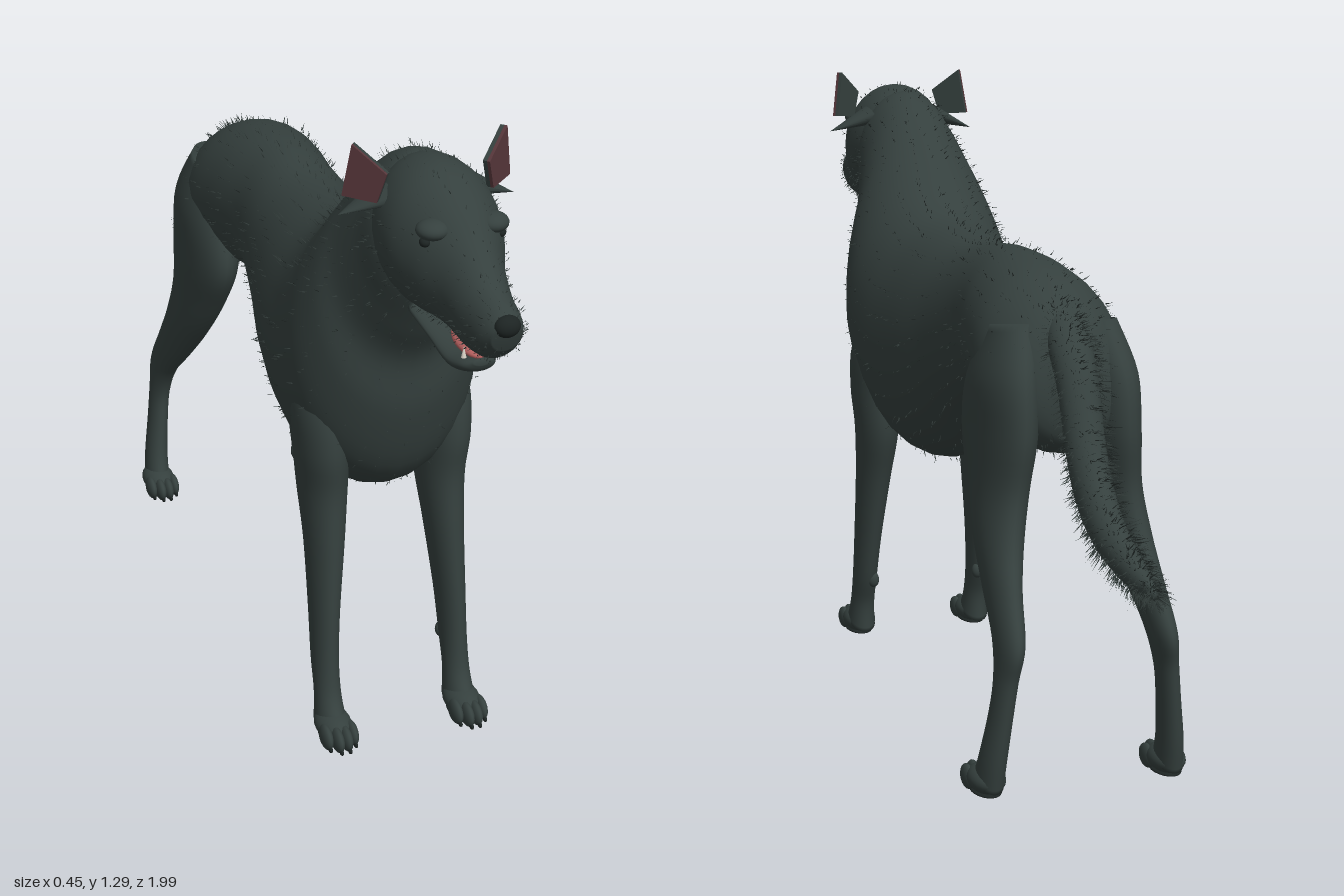
import * as THREE from 'three';

const mat = (name, color, extra = {}) => Object.assign(new THREE.MeshStandardMaterial({ color, ...extra }), { name });

// Smooth skin through oval sections: [zA, yA, zB, yB, centreX, halfWidth]
function loft(sections, side = 1, steps = 5, sides = 28) {
  const at = (i, k) => sections[Math.min(Math.max(i, 0), sections.length - 1)][k];
  const rings = [];
  for (let i = 0; i < sections.length - 1; i++)
    for (let s = 0; s < steps + (i === sections.length - 2 ? 1 : 0); s++) {
      const t = s / steps;
      rings.push([0, 1, 2, 3, 4, 5].map(k => {
        const a = at(i - 1, k), b = at(i, k), c = at(i + 1, k), d = at(i + 2, k);
        return b + 0.5 * t * (c - a + t * (2 * a - 5 * b + 4 * c - d + t * (3 * (b - c) + d - a)));
      }));
    }
  const pos = [], idx = [];
  for (const [za, ya, zb, yb, x, w] of rings)
    for (let j = 0; j < sides; j++) {
      const c = Math.cos(j / sides * Math.PI * 2), s = Math.sin(j / sides * Math.PI * 2);
      pos.push(x * side + w * s, (ya + yb) / 2 + (ya - yb) / 2 * c, (za + zb) / 2 + (za - zb) / 2 * c);
    }
  const last = (rings.length - 1) * sides, hub = rings.length * sides;
  for (const r of [rings[0], rings[rings.length - 1]]) pos.push(r[4] * side, (r[1] + r[3]) / 2, (r[0] + r[2]) / 2);
  for (let j = 0; j < sides; j++) {
    const n = (j + 1) % sides;
    for (let i = 0; i < last; i += sides)
      idx.push(i + j, i + sides + j, i + n, i + n, i + sides + j, i + sides + n);
    idx.push(hub, j, n, hub + 1, last + n, last + j);
  }
  const g = new THREE.BufferGeometry();
  g.setAttribute('position', new THREE.Float32BufferAttribute(pos, 3));
  g.setIndex(idx);
  g.computeVertexNormals();
  return g;
}

// Short hairs standing on a skin
function hairs(skin, count, length, lean, seed) {
  const rnd = () => (seed = (seed * 16807) % 2147483647) / 2147483647;
  const P = skin.attributes.position, N = skin.attributes.normal, pos = [];
  const jitter = k => new THREE.Vector3(rnd() - 0.5, rnd() - 0.5, rnd() - 0.5).multiplyScalar(k);
  for (let i = 0; i < count; i++) {
    const v = Math.floor(rnd() * (P.count - 2));
    const root = new THREE.Vector3().fromBufferAttribute(P, v).add(jitter(0.012));
    const normal = new THREE.Vector3().fromBufferAttribute(N, v);
    const across = jitter(1).normalize().multiplyScalar(0.0015);
    const tip = root.clone().addScaledVector(normal, length * (0.5 + rnd() * 0.6)).add(lean).add(jitter(length * 0.5));
    pos.push(...root.clone().add(across).toArray(), ...root.clone().sub(across).toArray(), ...tip.toArray());
  }
  const g = new THREE.BufferGeometry();
  g.setAttribute('position', new THREE.Float32BufferAttribute(pos, 3));
  g.computeVertexNormals();
  return g;
}

export function createModel() {
  const dog = new THREE.Group();
  dog.name = 'dog';
  const coat = mat('coat', 0x35403e);
  const fur = mat('fur', 0x2c3533, { side: THREE.DoubleSide });
  const dark = mat('noseAndPads', 0x1d2423);
  const earSkin = mat('earSkin', 0x56363a);
  const pink = mat('tongue', 0xb5605f);
  const ivory = mat('teeth', 0xd9d2c6);
  const add = (name, geometry, material, p = [0, 0, 0], scale = [1, 1, 1], rot = [0, 0, 0]) => {
    const m = new THREE.Mesh(geometry, material);
    m.name = name;
    m.position.set(...p);
    m.scale.set(...scale);
    m.rotation.set(...rot);
    dog.add(m);
    return m;
  };
  const ball = new THREE.SphereGeometry(1, 20, 14);

  // Torso and neck, rump to throat
  const torso = loft([
    [-0.48, 0.89, -0.525, 0.75, 0, 0.04], [-0.44, 0.925, -0.5, 0.66, 0, 0.11],
    [-0.34, 0.97, -0.4, 0.63, 0, 0.145], [-0.22, 0.99, -0.25, 0.665, 0, 0.135],
    [-0.1, 0.992, -0.12, 0.67, 0, 0.118], [0.03, 0.98, 0.03, 0.6, 0, 0.135],
    [0.15, 0.985, 0.16, 0.51, 0, 0.16], [0.26, 1.0, 0.28, 0.468, 0, 0.175],
    [0.33, 1.03, 0.41, 0.475, 0, 0.185], [0.38, 1.07, 0.53, 0.55, 0, 0.185],
    [0.43, 1.12, 0.59, 0.7, 0, 0.163], [0.48, 1.17, 0.605, 0.82, 0, 0.135],
    [0.54, 1.22, 0.65, 0.9, 0, 0.115], [0.62, 1.245, 0.69, 0.97, 0, 0.1], [0.69, 1.22, 0.72, 1.02, 0, 0.07]]);
  add('torso', torso, coat);
  add('torsoFur', hairs(torso, 2500, 0.012, new THREE.Vector3(0, 0, -0.008), 11), fur);

  // Head, skull to muzzle
  const head = loft([
    [0.58, 1.22, 0.66, 1.0, 0, 0.09], [0.64, 1.25, 0.7, 0.985, 0, 0.106],
    [0.72, 1.252, 0.75, 0.985, 0.002, 0.106], [0.8, 1.215, 0.79, 0.988, 0.005, 0.086],
    [0.86, 1.16, 0.83, 0.982, 0.009, 0.062], [0.92, 1.11, 0.885, 0.972, 0.012, 0.05],
    [0.97, 1.085, 0.94, 0.98, 0.015, 0.042], [0.992, 1.065, 0.975, 1.01, 0.016, 0.027]]);
  add('head', head, coat);
  add('headFur', hairs(head, 900, 0.009, new THREE.Vector3(0, 0, -0.006), 23), fur);
  add('nose', ball, dark, [0.016, 1.058, 0.982], [0.024, 0.02, 0.018]);

  // Open mouth
  add('lowerJaw', loft([
    [0.69, 1.0, 0.71, 0.96, 0.004, 0.055], [0.77, 0.968, 0.77, 0.938, 0.007, 0.045],
    [0.83, 0.955, 0.835, 0.918, 0.01, 0.042], [0.87, 0.957, 0.88, 0.928, 0.012, 0.033],
    [0.89, 0.957, 0.893, 0.945, 0.012, 0.015]]), coat);
  add('tongue', ball, pink, [0.011, 0.965, 0.835], [0.026, 0.012, 0.055], [0.12, 0, 0]);

  for (const s of [1, -1]) {
    const side = s > 0 ? 'left' : 'right';
    add(side + 'Tooth', new THREE.ConeGeometry(0.005, 0.022, 8), ivory, [0.011 + s * 0.025, 0.966, 0.872]);
    add(side + 'Eye', ball, dark, [0.005 + s * 0.07, 1.152, 0.808], [0.01, 0.009, 0.011]);
    add(side + 'Brow', ball, coat, [0.005 + s * 0.055, 1.172, 0.805], [0.03, 0.018, 0.03]);

    // Pointed inner ear above a folded flap
    const outline = new THREE.Shape([[0.025, 0.097], [0.043, 0], [-0.022, -0.005], [-0.04, 0.05]]
      .map(([x, y]) => new THREE.Vector2(x * s, y)));
    const turn = [0, s * 0.7, 0];
    add(side + 'EarBack', new THREE.ExtrudeGeometry(outline, { depth: 0.008, bevelEnabled: false }), coat,
      [s * 0.118, 1.19, 0.668], [1, 1, 1], turn);
    add(side + 'EarInner', new THREE.ExtrudeGeometry(outline, { depth: 0.006, bevelEnabled: false }), earSkin,
      [s * 0.1232, 1.19, 0.6741], [1, 1, 1], turn);
    add(side + 'EarFlap', new THREE.ConeGeometry(0.052, 0.1, 16), coat,
      [s * 0.12, 1.172, 0.652], [0.4, 1, 1], [0, 0, -s * (Math.PI / 2 + 0.35)]);

    // Front leg
    add(side + 'FrontLeg', loft([
      [0.48, 0.78, 0.38, 0.8, 0.11, 0.03], [0.52, 0.69, 0.36, 0.7, 0.124, 0.05],
      [0.532, 0.6, 0.365, 0.6, 0.125, 0.051], [0.522, 0.51, 0.37, 0.5, 0.122, 0.046],
      [0.53, 0.4, 0.405, 0.39, 0.125, 0.037], [0.54, 0.27, 0.44, 0.25, 0.132, 0.029],
      [0.548, 0.16, 0.465, 0.15, 0.136, 0.026], [0.56, 0.09, 0.492, 0.08, 0.137, 0.026],
      [0.585, 0.05, 0.495, 0.015, 0.137, 0.03]], s), coat);
    add(side + 'Dewclaw', ball, coat, [s * 0.125, 0.145, 0.474], [0.013, 0.018, 0.012]);

    // Hind leg, thigh to hock to foot
    add(side + 'HindLeg', loft([
      [-0.3, 0.87, -0.45, 0.89, 0.08, 0.045], [-0.24, 0.77, -0.51, 0.79, 0.1, 0.058],
      [-0.215, 0.67, -0.525, 0.68, 0.105, 0.058], [-0.27, 0.57, -0.51, 0.57, 0.115, 0.05],
      [-0.345, 0.47, -0.53, 0.48, 0.13, 0.042], [-0.425, 0.385, -0.575, 0.4, 0.143, 0.032],
      [-0.505, 0.31, -0.63, 0.31, 0.153, 0.026], [-0.54, 0.24, -0.618, 0.24, 0.162, 0.022],
      [-0.537, 0.17, -0.61, 0.17, 0.17, 0.022], [-0.52, 0.09, -0.598, 0.08, 0.18, 0.025],
      [-0.5, 0.045, -0.585, 0.015, 0.184, 0.027]], s), coat);

    // Paws with four toes and a pad
    for (const [name, x, z] of [['FrontPaw', 0.137, 0.56], ['HindPaw', 0.185, -0.53]]) {
      add(side + name, ball, coat, [s * x, 0.031, z], [0.036, 0.028, 0.055]);
      add(side + name + 'Pad', ball, dark, [s * x, 0.006, z + 0.005], [0.029, 0.006, 0.05]);
      for (let t = 0; t < 4; t++) {
        const o = t - 1.5, reach = Math.abs(o) < 1 ? 0.05 : 0.034;
        add(side + name + 'Toe', ball, coat, [s * x + o * 0.0175, 0.025, z + reach], [0.0115, 0.024, 0.031]);
        add(side + name + 'Claw', ball, dark, [s * x + o * 0.0175, 0.012, z + reach + 0.026], [0.004, 0.006, 0.008]);
      }
    }
  }

  add('bellySheath', ball, coat, [0, 0.643, -0.115], [0.022, 0.028, 0.075], [-0.45, 0, 0]);

  // Tail, tip to root, with a bushy fringe
  const tail = loft([
    [-0.96, 0.505, -0.96, 0.487, 0.02, 0.006], [-0.88, 0.533, -0.87, 0.482, 0.02, 0.022],
    [-0.77, 0.577, -0.74, 0.51, 0.02, 0.032], [-0.69, 0.64, -0.64, 0.565, 0.019, 0.036],
    [-0.635, 0.715, -0.58, 0.65, 0.017, 0.038], [-0.575, 0.82, -0.53, 0.75, 0.012, 0.04],
    [-0.5, 0.89, -0.47, 0.82, 0.006, 0.042], [-0.42, 0.93, -0.42, 0.86, 0, 0.035]]);
  add('tail', tail, coat);
  add('tailFur', hairs(tail, 2600, 0.022, new THREE.Vector3(0, -0.004, -0.012), 37), fur);
  return dog;
}
